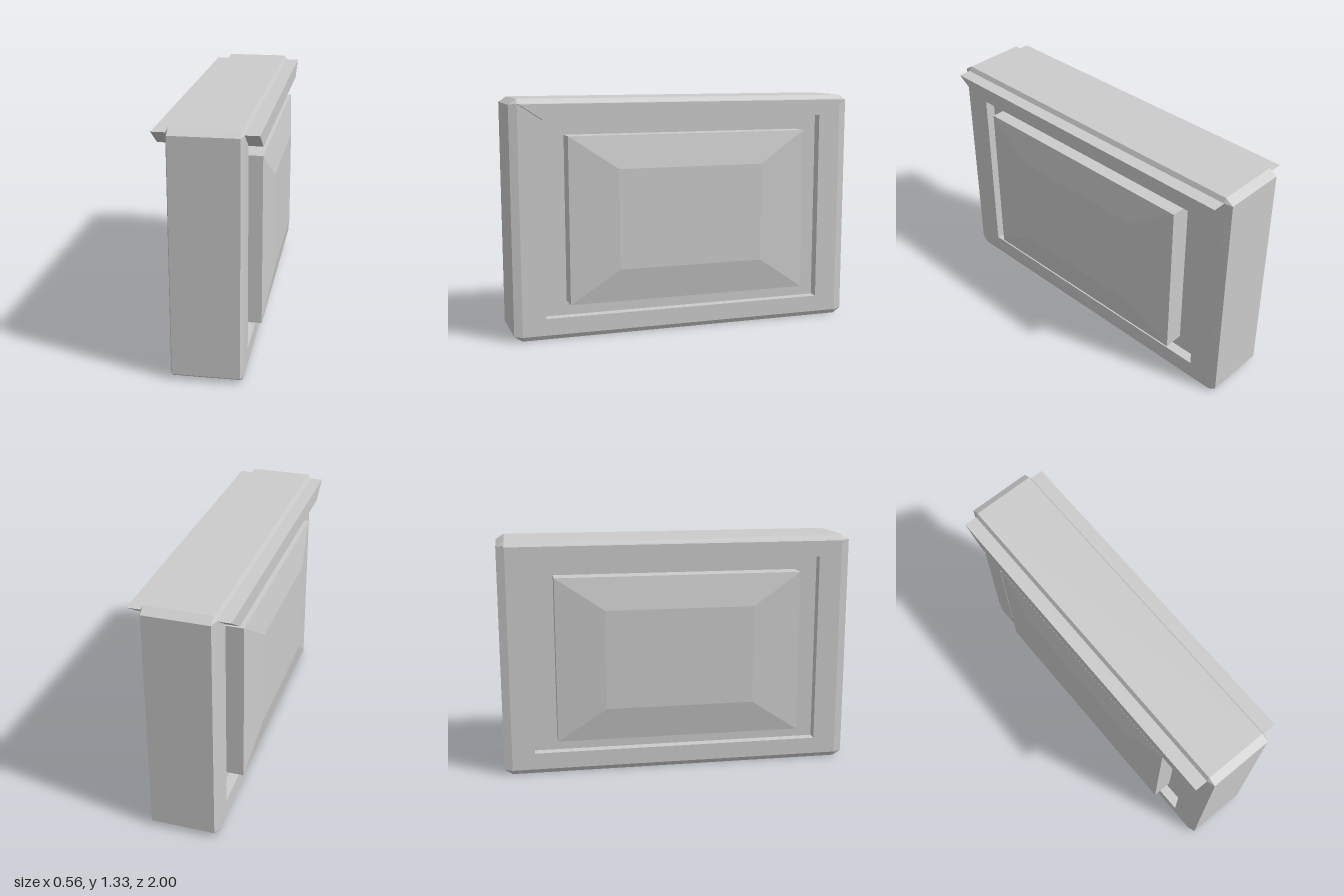
import * as THREE from 'three';

const material = new THREE.MeshStandardMaterial({ color: 0xcccccc, flatShading: true });

// Eight-point rectangular ring across x, corners cut by cz and cy (zero gives sharp corners)
function ring(x, hz, y0, y1, cz = 0, cy = 0) {
  return [
    [hz - cz, y1], [hz, y1 - cy], [hz, y0 + cy], [hz - cz, y0],
    [cz - hz, y0], [-hz, y0 + cy], [-hz, y1 - cy], [cz - hz, y1],
  ].map(([z, y]) => new THREE.Vector3(x, y, z));
}

// Skin a series of rings running towards +x and close both ends
function loft(name, rings) {
  const positions = [];
  const tri = (a, b, c) => {
    if (a.equals(b) || b.equals(c) || c.equals(a)) return;
    for (const p of [a, b, c]) positions.push(p.x, p.y, p.z);
  };
  const n = rings[0].length;
  for (let r = 0; r < rings.length - 1; r++) {
    const a = rings[r], b = rings[r + 1];
    for (let i = 0; i < n; i++) {
      const j = (i + 1) % n;
      tri(a[i], a[j], b[j]);
      tri(a[i], b[j], b[i]);
    }
  }
  const first = rings[0], last = rings[rings.length - 1];
  for (let i = 1; i < n - 1; i++) {
    tri(first[0], first[i + 1], first[i]);
    tri(last[0], last[i], last[i + 1]);
  }
  const geometry = new THREE.BufferGeometry();
  geometry.setAttribute('position', new THREE.Float32BufferAttribute(positions, 3));
  geometry.computeVertexNormals();
  const mesh = new THREE.Mesh(geometry, material);
  mesh.name = name;
  return mesh;
}

export function createModel() {
  const model = new THREE.Group();
  model.name = 'panelledBlock';

  // Chamfered slab with a shallow recess in each broad side
  const opening = (x) => ring(x, 0.825, 0.12, 1.22);
  const sideFace = (x) => ring(x, 0.955, 0.025, 1.308);
  const outline = (x) => ring(x, 1, 0, 1.333, 0.045, 0.03);
  model.add(loft('body', [
    opening(-0.135), opening(-0.192), sideFace(-0.192), outline(-0.178),
    outline(0.178), sideFace(0.192), opening(0.192), opening(0.135),
  ]));

  for (const side of ['left', 'right']) {
    const group = new THREE.Group();
    group.name = side + 'Side';

    // Raised panel with a bevelled face
    group.add(loft(side + 'Panel', [
      ring(0.135, 0.695, 0.203, 1.133),
      ring(0.248, 0.695, 0.203, 1.133),
      ring(0.28, 0.42, 0.39, 0.95),
    ]));

    // Projecting ledge with mitred ends above the recess
    const ledge = (x) => [[0.957, 1.308], [0.825, 1.22], [-0.825, 1.22], [-0.957, 1.308]]
      .map(([z, y]) => new THREE.Vector3(x, y, z));
    group.add(loft(side + 'Ledge', [ledge(0.185), ledge(0.265)]));

    if (side === 'right') group.rotation.y = Math.PI;
    model.add(group);
  }
  return model;
}
